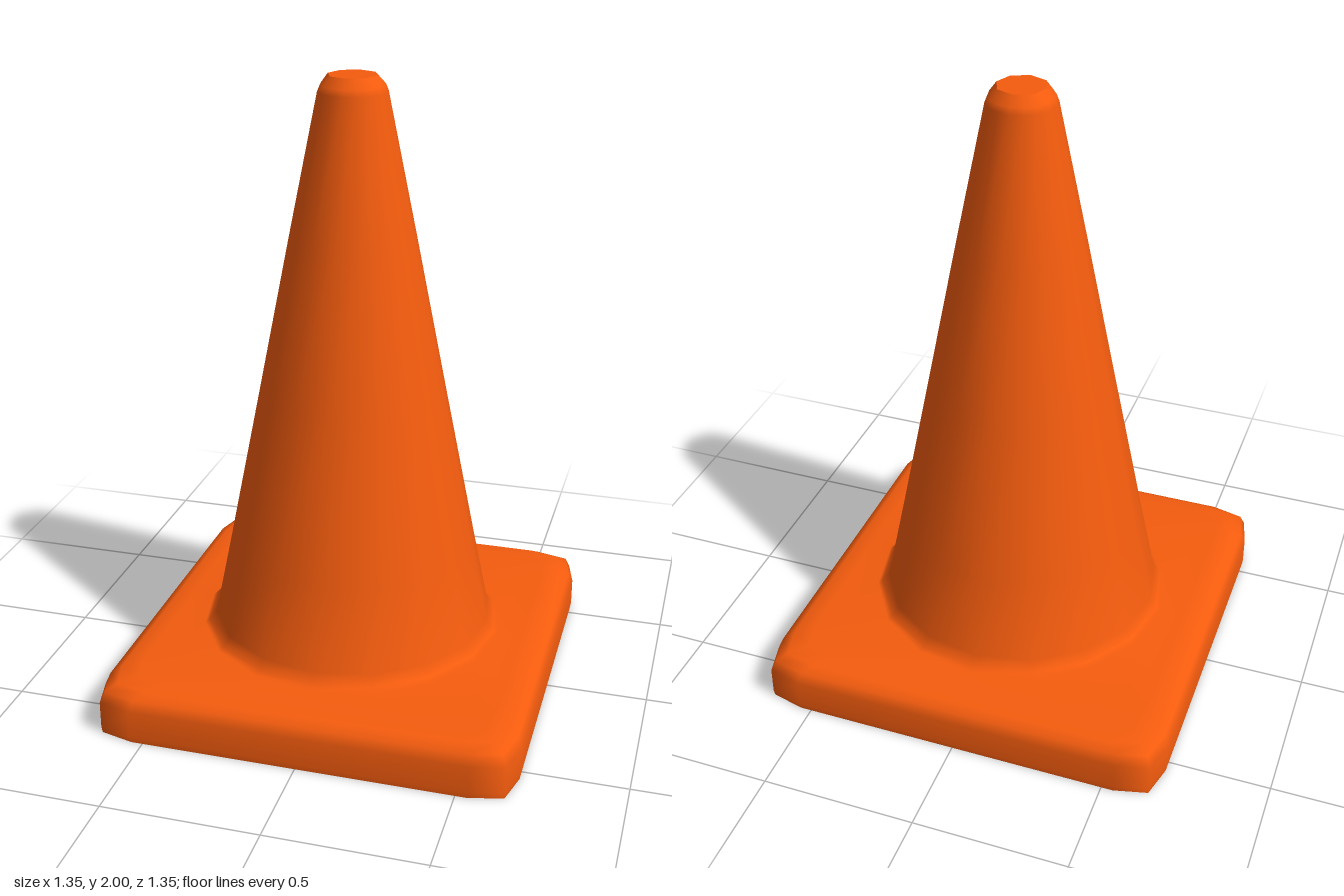
import * as THREE from 'three';

const SIDES = 16;

// Circular ring of points at height y
const circle = (r, y) => Array.from({ length: SIDES }, (_, i) => {
  const a = (i / SIDES) * Math.PI * 2;
  return [r * Math.cos(a), y, r * Math.sin(a)];
});

// Eight-sided ring: every second point sits in the middle of an edge
const octagon = (r, y) => circle(r, y).map(([x, h, z], i) => {
  const k = i % 2 ? Math.cos(Math.PI / 8) : 1;
  return [x * k, h, z * k];
});

// Square ring with cut corners, inset by d
const square = (d, y) => {
  const k = (0.675 - d) / 0.675;
  const quarter = [[0.675, 0], [0.675, 0.54], [0.648, 0.648], [0.54, 0.675]];
  const ring = [];
  for (let q = 0; q < 4; q++) {
    const c = Math.round(Math.cos(q * Math.PI / 2));
    const s = Math.round(Math.sin(q * Math.PI / 2));
    for (const [x, z] of quarter) ring.push([k * (c * x - s * z), y, k * (s * x + c * z)]);
  }
  return ring;
};

// Smooth skin through a series of rings
function loft(rings) {
  const index = [];
  for (let r = 0; r < rings.length - 1; r++) {
    for (let i = 0; i < SIDES; i++) {
      const j = (i + 1) % SIDES;
      const a = r * SIDES + i, b = r * SIDES + j;
      index.push(a, a + SIDES, b, b, a + SIDES, b + SIDES);
    }
  }
  const geometry = new THREE.BufferGeometry();
  geometry.setAttribute('position', new THREE.Float32BufferAttribute(rings.flat(2), 3));
  geometry.setIndex(index);
  geometry.computeVertexNormals();
  return geometry;
}

// Flat disc closing a ring, facing up
function disc(ring) {
  const index = [];
  for (let i = 0; i < SIDES; i++) index.push(SIDES, (i + 1) % SIDES, i);
  const geometry = new THREE.BufferGeometry();
  geometry.setAttribute('position', new THREE.Float32BufferAttribute([...ring, [0, ring[0][1], 0]].flat(), 3));
  geometry.setIndex(index);
  geometry.computeVertexNormals();
  return geometry;
}

export function createModel() {
  const group = new THREE.Group();
  group.name = 'trafficCone';
  const material = new THREE.MeshStandardMaterial({ color: 0xf55c0e });
  const add = (name, geometry) => {
    const mesh = new THREE.Mesh(geometry, material);
    mesh.name = name;
    group.add(mesh);
    return mesh;
  };

  // Square foot with rounded rim, flowing through a fillet into the cone
  add('footAndCone', loft([
    square(0.003, 0), square(0, 0.02), square(0, 0.11), square(0.014, 0.145),
    square(0.045, 0.163), square(0.1, 0.168),
    circle(0.5, 0.172), circle(0.485, 0.185), circle(0.46, 0.215),
    circle(0.405, 0.48), circle(0.3, 1.0), circle(0.2, 1.5),
    circle(0.108, 1.95), circle(0.1, 1.97), octagon(0.078, 2),
  ]));

  // Flat tip
  add('tip', disc(octagon(0.078, 2)));

  // Hollow inside, open at the bottom
  add('innerWall', loft([
    circle(0, 1.95), circle(0.06, 1.94), circle(0.25, 1.0), circle(0.4, 0.25), circle(0.41, 0),
  ]));

  // Flat underside around the opening
  add('underside', loft([circle(0.41, 0), square(0.003, 0)]));

  return group;
}
